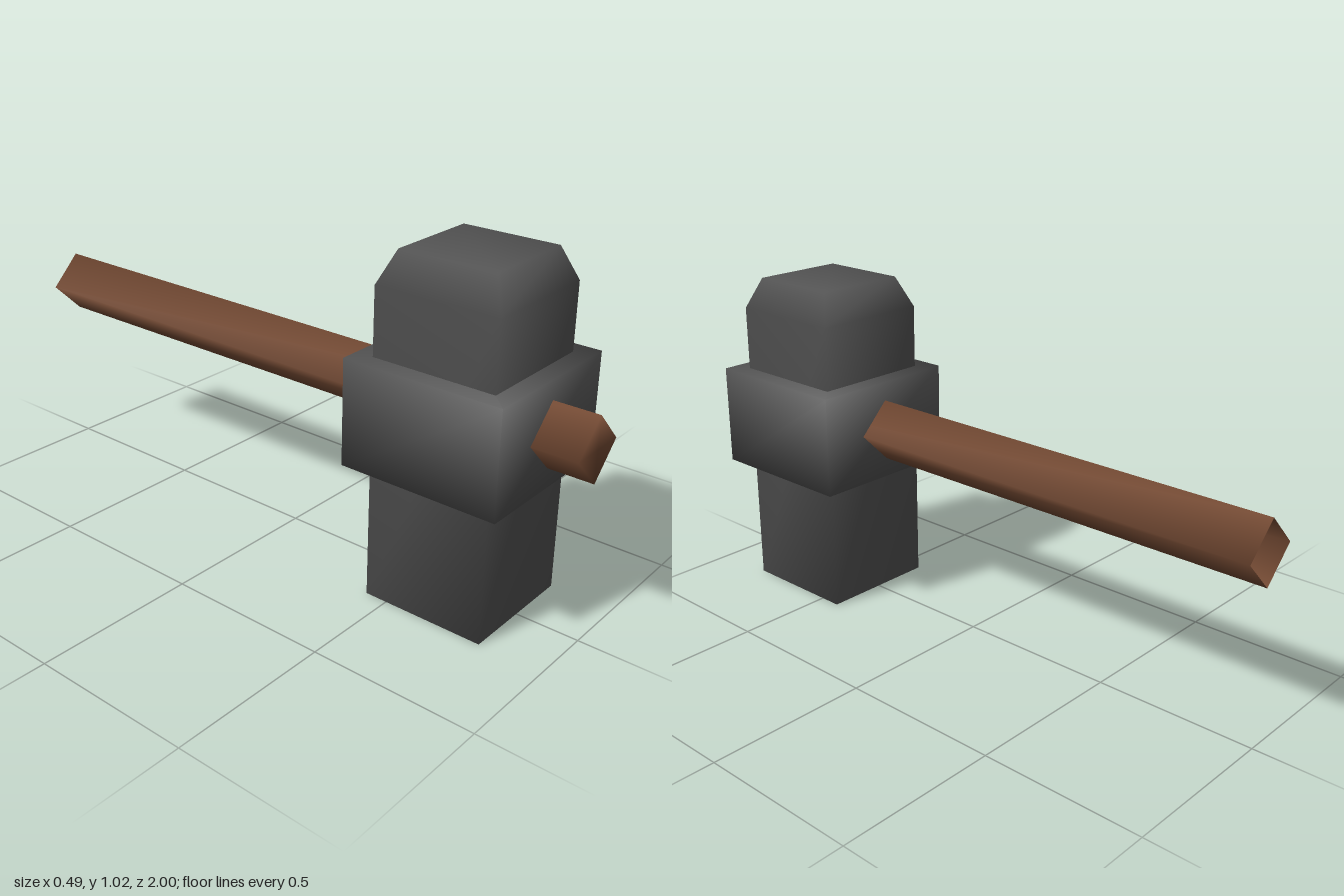
import * as THREE from 'three';
import { mergeVertices } from 'three/addons/utils/BufferGeometryUtils.js';

// Weld shared corners so the shading runs smoothly over the edges
function smooth(geometry) {
  geometry.deleteAttribute('normal');
  geometry.deleteAttribute('uv');
  const welded = mergeVertices(geometry, 1e-4);
  welded.computeVertexNormals();
  return welded;
}

export function createModel() {
  const iron = new THREE.MeshStandardMaterial({ color: 0x555555 });
  iron.name = 'dark iron';
  const wood = new THREE.MeshStandardMaterial({ color: 0x744a33, side: THREE.DoubleSide });
  wood.name = 'brown wood';

  const model = new THREE.Group();
  model.name = 'hammer';
  function add(name, geometry, material, y, z) {
    const mesh = new THREE.Mesh(smooth(geometry), material);
    mesh.name = name;
    mesh.position.set(0, y, z);
    model.add(mesh);
  }

  const headZ = 0.62;

  // Head: square block whose upper end tapers above the shoulder
  const height = 1.023, shoulder = 0.927;
  const head = new THREE.BoxGeometry(0.378, height, 0.378, 1, 2, 1);
  head.translate(0, height / 2, 0);
  const p = head.attributes.position;
  for (let i = 0; i < p.count; i++) {
    const y = p.getY(i);
    if (y > height - 0.01) {
      p.setX(i, Math.sign(p.getX(i)) * 0.148);
      p.setZ(i, Math.sign(p.getZ(i)) * 0.148);
    } else if (y > 0.1) p.setY(i, shoulder);
  }
  add('head', head, iron, 0, headZ);

  // Thick collar around the middle of the head
  add('collar', new THREE.BoxGeometry(0.488, 0.315, 0.488), iron, 0.57, headZ);

  // Handle: four-sided shaft on edge, closed in front and hollow at the back
  const r = 0.097;
  const profile = [[r, -1], [r, 1], [0, 1]].map(([x, y]) => new THREE.Vector2(x, y));
  const handle = new THREE.LatheGeometry(profile, 4);
  handle.rotateX(Math.PI / 2);
  add('handle', handle, wood, 0.57, 0);

  return model;
}
